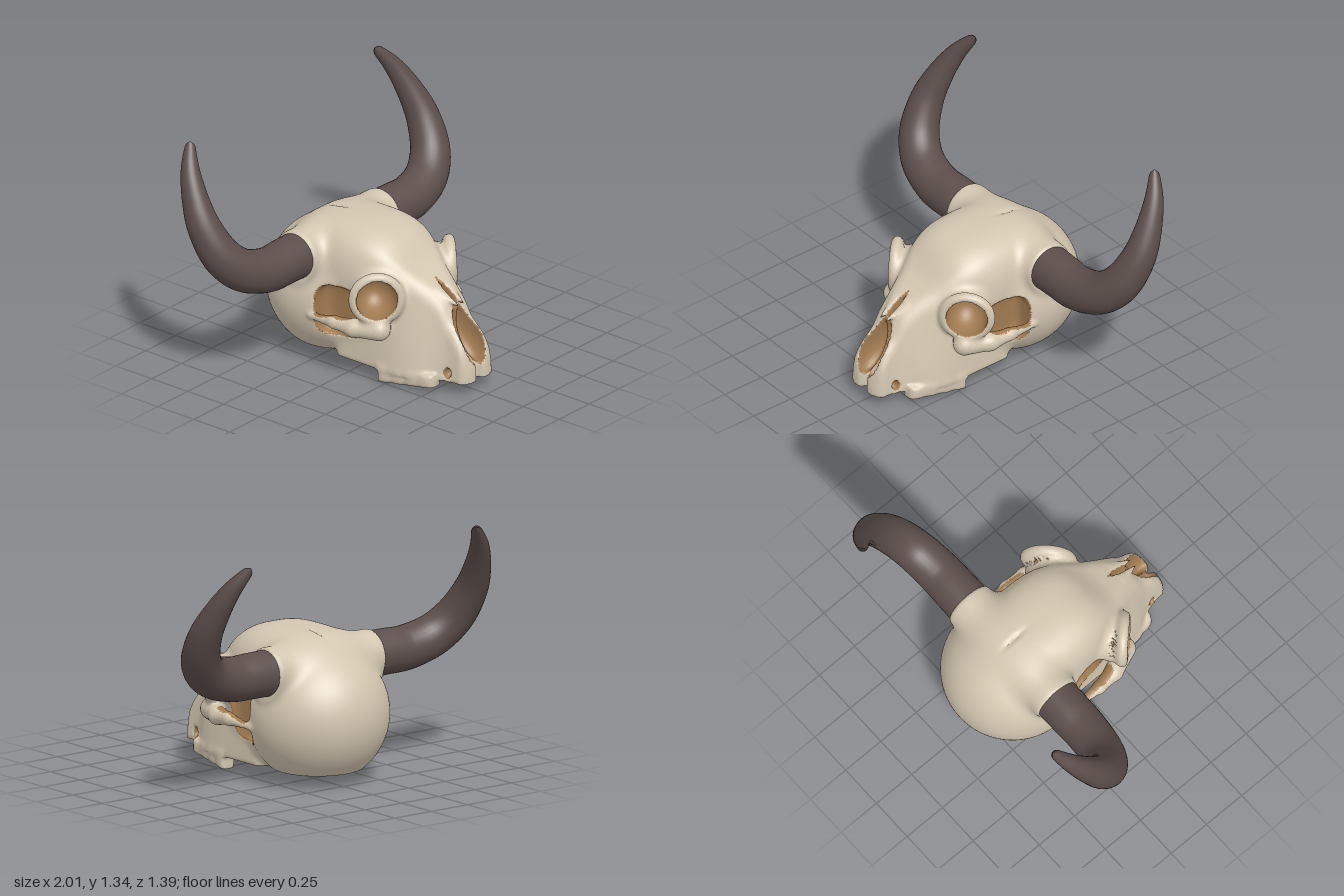
import * as THREE from 'three';

const bone = new THREE.MeshStandardMaterial({ color: 0xd3c6b0 });
bone.name = 'bone';
const hollow = new THREE.MeshStandardMaterial({ color: 0xa07a50 });
hollow.name = 'hollow brown';
const hornDark = new THREE.MeshStandardMaterial({ color: 0x5c4e4b });
hornDark.name = 'dark horn';

// ---- solid shape helpers: negative inside, positive outside ----
const { abs, exp, hypot, max, min } = Math;
const bump = (v, w) => exp(-(v / w) * (v / w));
const blend = (a, b, k) => {
  const h = max(k - abs(a - b), 0) / k;
  return min(a, b) - h * h * k * 0.25;
};
const meet = (a, b, k) => -blend(-a, -b, k);
const ellipsoid = (x, y, z, rx, ry, rz, n = 2) =>
  ((abs(x / rx) ** n + abs(y / ry) ** n + abs(z / rz) ** n) ** (1 / n) - 1) * min(rx, ry, rz);

// Tapered rod between a and b, each [x, y, z, radius]
function rod(x, y, z, a, b) {
  const dx = b[0] - a[0], dy = b[1] - a[1], dz = b[2] - a[2];
  let t = ((x - a[0]) * dx + (y - a[1]) * dy + (z - a[2]) * dz) / (dx * dx + dy * dy + dz * dz);
  t = min(1, max(0, t));
  return hypot(x - a[0] - dx * t, y - a[1] - dy * t, z - a[2] - dz * t) - (a[3] + (b[3] - a[3]) * t);
}

// Smooth interpolation of rows [position, ...values]
function profile(rows) {
  const size = rows[0].length - 1;
  return new THREE.CubicInterpolant(rows.map(r => r[0]), rows.flatMap(r => r.slice(1)), size, new Float32Array(size));
}

// Face sections along z: top height, half width at the bottom, half width at the top
const faceSections = profile([
  [-0.1, 0.74, 0.26, 0.22], [0.1, 0.72, 0.26, 0.21], [0.25, 0.675, 0.26, 0.19],
  [0.35, 0.615, 0.25, 0.15], [0.45, 0.555, 0.215, 0.11], [0.51, 0.5, 0.175, 0.1],
  [0.56, 0.42, 0.15, 0.1], [0.62, 0.35, 0.135, 0.11], [0.67, 0.275, 0.13, 0.11], [0.7, 0.2, 0.115, 0.1],
]);

function face(x, y, z) {
  const [top, wide, narrow] = faceSections.evaluate(z);
  const t = min(1, max(0, (y - 0.08) / (top - 0.08)));
  const side = (x - wide - (narrow - wide) * t ** 1.3) * 0.9;
  const ends = max(z - 0.705 + 0.045 * bump(x, 0.02), -0.1 - z);
  return meet(meet(side, (y - top) * 0.8, 0.07), ends, 0.05);
}

// ---- hollows, x is always the distance from the middle plane ----
const EYE = [0.305, 0.525, 0.235];
function eyeFrame(x, y, z) {
  const dx = x - EYE[0], dy = y - EYE[1], dz = z - EYE[2];
  const along = (dx + dz) * Math.SQRT1_2, across = (dx - dz) * Math.SQRT1_2;
  return [along, hypot(across, dy)];
}
function eyeSocket(x, y, z) {
  const [along, radial] = eyeFrame(x, y, z);
  return ellipsoid(along, radial, 0, 0.14, 0.112, 1);
}
const temple = (x, y, z) => ellipsoid(x - 0.31, y - 0.365, z + 0.022, 0.077, 0.148, 0.135, 4);
function noseOpening(x, y, z) {
  const dy = y - 0.33, dz = z - 0.62;
  const up = dy * 0.934 - dz * 0.357;
  const out = dy * 0.357 + dz * 0.934 - 0.05 * bump(x, 0.018);
  return ellipsoid(x, up, out, 0.076 * max(0.4, 1 - 1.6 * up), 0.18, 0.12);
}
const noseCrack = (x, y, z) => ellipsoid(x, y - 0.53, z - 0.48, 0.014, 0.075, 0.09);
const jawHole = (x, y, z) => ellipsoid(x - 0.13, y - 0.13, z - 0.585, 0.035, 0.028, 0.02);
const rowX = z => 0.192 + (0.365 - z) * 0.18;
const palate = (x, y, z) => ellipsoid(x - rowX(z) + 0.05, y - 0.05, z - 0.36, 0.02, 0.026, 0.13);

// ---- complete skull ----
function skull(px, y, z) {
  const x = abs(px);
  // Braincase, forehead, snout and horn bosses
  let d = hypot(x, y - 0.38, z + 0.284) - 0.387;
  d = blend(d, ellipsoid(x, y - 0.5, z + 0.1, 0.305, 0.333, 0.38, 2.8), 0.05);
  d = blend(d, face(x, y, z), 0.05);
  const boss = meet(hypot(y - 0.645, z + 0.285) - 0.138, x - 0.365, 0.02);
  d = blend(d, boss, 0.06);
  // Brow and raised eye rim
  d = blend(d, hypot(x - 0.25, y - 0.51, z - 0.19) - 0.125, 0.05);
  const [along, radial] = eyeFrame(x, y, z);
  d = blend(d, hypot(along, radial - 0.121) - 0.03, 0.04);
  // Temple hollow, bridged by the cheek arch
  d = max(d, -temple(x, y, z));
  let arch = rod(x, y, z, [0.3, 0.345, 0.25, 0.06], [0.36, 0.34, 0.12, 0.048]);
  arch = blend(arch, rod(x, y, z, [0.36, 0.34, 0.12, 0.048], [0.377, 0.345, 0, 0.033]), 0.02);
  arch = blend(arch, rod(x, y, z, [0.377, 0.345, 0, 0.033], [0.37, 0.328, -0.17, 0.013]), 0.02);
  d = blend(d, arch, 0.03);
  // Openings
  d = max(d, -eyeSocket(x, y, z), -noseOpening(x, y, z));
  d = blend(d, rod(x, y, z, [0.04, 0.53, 0.44, 0.03], [0.022, 0.485, 0.56, 0.008]), 0.02);
  d = max(d, -noseCrack(x, y, z), -jawHole(x, y, z));
  // Flat underside and seam on the crown
  d = max(d, 0.082 - y);
  if (y > 0.7) d += 0.014 * bump(x, 0.012) * bump(z + 0.27, 0.07);
  // Tooth rows
  const floor = 0.008 + max(0, z - 0.2) * 0.1;
  const groove = 0.006 * abs(Math.sin((z - 0.2) * 38));
  const row = meet(abs(x - rowX(z)) - 0.044 - groove, max(abs(z - 0.365) - 0.168, floor - y, y - 0.12), 0.03);
  d = blend(d, row, 0.015);
  return max(d, -palate(x, y, z));
}

// True where a surface point lies in one of the hollows
function inHollow(px, y, z) {
  const x = abs(px);
  return min(eyeSocket(x, y, z), temple(x, y, z), noseOpening(x, y, z),
    noseCrack(x, y, z), jawHole(x, y, z), palate(x, y, z)) < 0.004;
}

// Skin a solid on a regular grid: one vertex per crossed cell, one quad per crossed edge
function skin(solid, lo, hi, step) {
  const n = lo.map((v, i) => Math.ceil((hi[i] - v) / step) + 1);
  const jump = [1, n[0], n[0] * n[1]];
  const field = new Float32Array(n[0] * n[1] * n[2]);
  const cell = new Int32Array(field.length).fill(-1);
  const eachPoint = visit => {
    for (let k = 0, i = 0; k < n[2]; k++)
      for (let j = 0; j < n[1]; j++)
        for (let h = 0; h < n[0]; h++, i++) visit(i, [h, j, k]);
  };
  eachPoint((i, g) => {
    field[i] = solid(lo[0] + g[0] * step, lo[1] + g[1] * step, lo[2] + g[2] * step);
  });
  const positions = [];
  eachPoint((i, g) => {
    if (g.some((v, a) => v >= n[a] - 1)) return;
    const sum = [0, 0, 0];
    let count = 0;
    for (let c = 0; c < 8; c++) for (let a = 0; a < 3; a++) {
      if (c & (1 << a)) continue;
      const bits = [c & 1, (c >> 1) & 1, (c >> 2) & 1];
      const at = i + bits[0] + bits[1] * jump[1] + bits[2] * jump[2];
      const f0 = field[at], f1 = field[at + jump[a]];
      if ((f0 < 0) === (f1 < 0)) continue;
      bits[a] = f0 / (f0 - f1);
      for (let b = 0; b < 3; b++) sum[b] += bits[b];
      count++;
    }
    if (!count) return;
    cell[i] = positions.length / 3;
    for (let a = 0; a < 3; a++) positions.push(lo[a] + (g[a] + sum[a] / count) * step);
  });
  const faces = [];
  eachPoint((i, g) => {
    if (g.some((v, a) => v < 1 || v >= n[a] - 1)) return;
    for (let a = 0; a < 3; a++) {
      const inside = field[i] < 0;
      if (inside === (field[i + jump[a]] < 0)) continue;
      const b = jump[(a + 1) % 3], c = jump[(a + 2) % 3];
      const q = [cell[i], cell[i - b], cell[i - b - c], cell[i - c]];
      if (!inside) q.reverse();
      faces.push([q[0], q[1], q[2]], [q[0], q[2], q[3]]);
    }
  });
  const geometry = new THREE.BufferGeometry();
  geometry.setAttribute('position', new THREE.Float32BufferAttribute(positions, 3));
  geometry.setIndex(faces.flat());
  geometry.computeVertexNormals();
  return { geometry, faces, positions };
}

// Horn: a tube along a backward-leaning curve, thinned towards a rounded tip
const hornRadius = profile([[0, 0.127], [0.215, 0.122], [0.36, 0.116], [0.48, 0.108],
  [0.62, 0.092], [0.74, 0.074], [0.88, 0.05], [1, 0.024]]);
function horn(side) {
  const line = [[0.33, 0.645], [0.46, 0.645], [0.6, 0.647], [0.77, 0.7], [0.87, 0.8],
    [0.912, 0.95], [0.9, 1.08], [0.85, 1.23], [0.77, 1.352]];
  const path = new THREE.CatmullRomCurve3(line.map(([x, y]) =>
    new THREE.Vector3(side * x, y, -0.285 - 0.55 * (y - 0.645))));
  const rings = 80, sides = 32;
  const geometry = new THREE.TubeGeometry(path, rings, 1, sides);
  const pos = geometry.attributes.position, v = new THREE.Vector3();
  for (let i = 0; i < pos.count; i++) {
    const u = Math.floor(i / (sides + 1)) / rings, centre = path.getPointAt(u);
    const tip = Math.sqrt(max(0, 1 - (max(0, u - 0.97) / 0.03) ** 2));
    v.fromBufferAttribute(pos, i).sub(centre).multiplyScalar(hornRadius.evaluate(u)[0] * tip).add(centre);
    pos.setXYZ(i, v.x, v.y, v.z);
  }
  const mesh = new THREE.Mesh(geometry, hornDark);
  mesh.name = side > 0 ? 'leftHorn' : 'rightHorn';
  return mesh;
}

export function createModel() {
  const model = new THREE.Group();
  model.name = 'hornedSkull';
  const { geometry, faces, positions } = skin(skull, [-0.456, -0.03, -0.7], [0.456, 0.88, 0.74], 0.0114);
  const mid = (f, a) => (positions[f[0] * 3 + a] + positions[f[1] * 3 + a] + positions[f[2] * 3 + a]) / 3;
  const lining = faces.map(f => inHollow(mid(f, 0), mid(f, 1), mid(f, 2)));
  for (const [name, material, wanted] of [['skullBone', bone, false], ['hollowLining', hollow, true]]) {
    const part = geometry.clone();
    part.setIndex(faces.filter((f, i) => lining[i] === wanted).flat());
    const mesh = new THREE.Mesh(part, material);
    mesh.name = name;
    model.add(mesh);
  }
  model.add(horn(1), horn(-1));
  return model;
}
